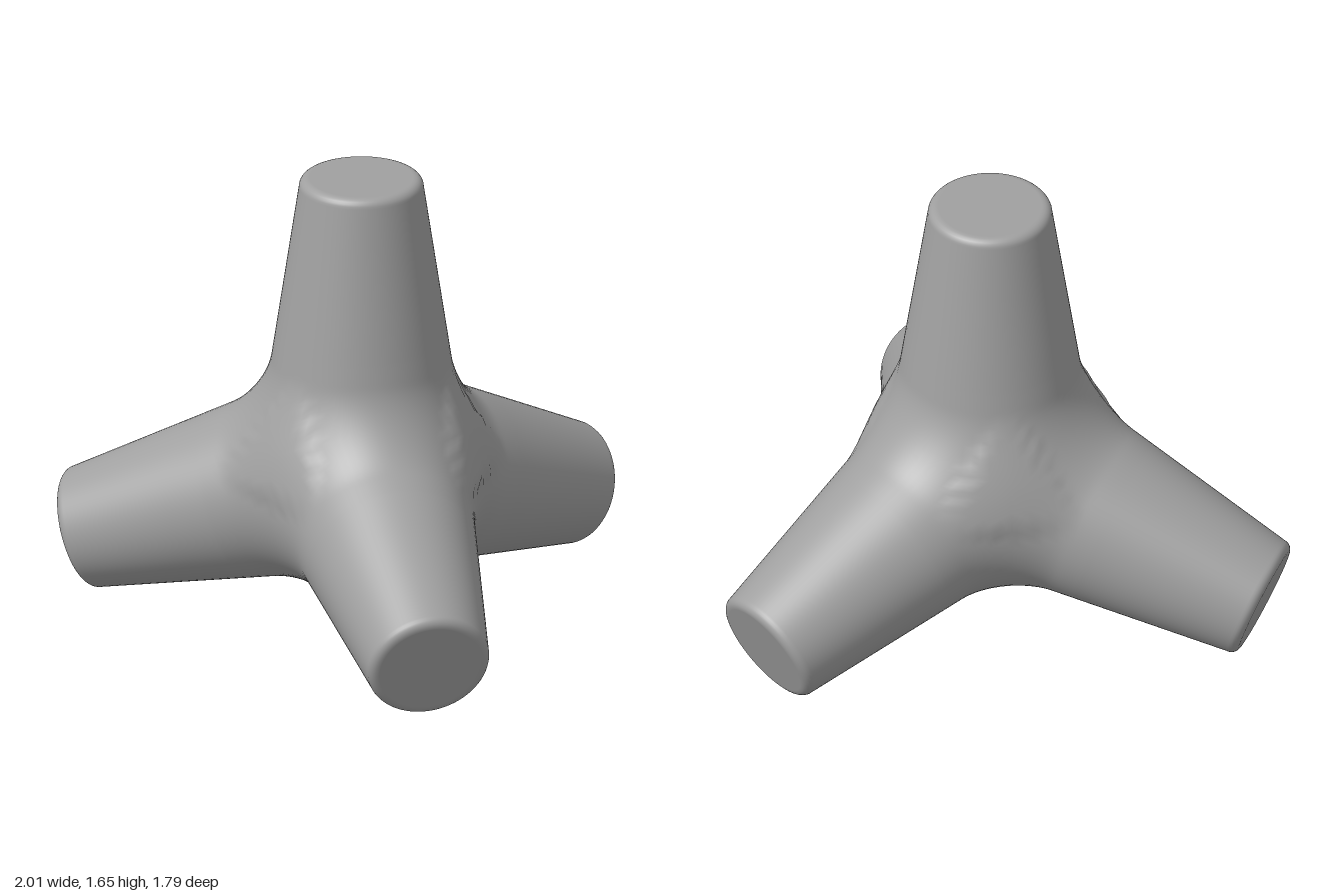
import * as THREE from 'three';
import { mergeVertices } from 'three/addons/utils/BufferGeometryUtils.js';

const SEG = 72;            // sides around each leg (multiple of 6)
const LENGTH = 1.09;       // centre to end of a leg
const BASE = 0.378;        // leg radius extrapolated to the centre
const TAPER = 0.15;
const FILLET = 0.14;       // blend between legs
const EDGE = 0.033;        // rounding of the leg ends
const CENTRE = new THREE.Vector3(0, 0.56, -0.205);

// Four leg directions of a tetrahedron: up, front, back left, back right
const DIRS = [new THREE.Vector3(0, 1, 0)];
for (let i = 0; i < 3; i++) {
  const a = (i * Math.PI * 2) / 3, h = Math.sqrt(8) / 3;
  DIRS.push(new THREE.Vector3(Math.sin(a) * h, -1 / 3, Math.cos(a) * h));
}

const coneRadius = (t) => BASE - TAPER * t;

// Is the point inside the filleted union of the four cones?
function inside(p) {
  let sum = 0;
  for (const d of DIRS) {
    const t = p.dot(d);
    const r = Math.sqrt(Math.max(0, p.lengthSq() - t * t));
    const dist = (r - coneRadius(t)) * 0.989 + Math.max(0, -3 * t);
    sum += Math.max(0, FILLET - dist) ** 2;
  }
  return sum > FILLET * FILLET;
}

// Largest s in 0.1..0.8 for which the point at(s) is inside
function findSurface(at) {
  let lo = 0.1, hi = 0.8;
  for (let i = 0; i < 30; i++) {
    const mid = (lo + hi) / 2;
    if (inside(at(mid))) lo = mid;
    else hi = mid;
  }
  return lo;
}

// One leg's profile at an angle, from the seam with its neighbours to the cap centre
function legProfile(axis, side, delta) {
  const point = (t, r) => axis.clone().multiplyScalar(t).addScaledVector(side, r);
  const slope = Math.SQRT1_2 * Math.cos(delta);
  const seamR = findSurface((r) => point(r * slope, r));
  const seamT = seamR * slope;
  const rows = [point(seamT, seamR)];
  const blendEnd = 0.5, n = 16;
  for (let i = 1; i <= n; i++) {
    const t = seamT + ((blendEnd - seamT) * i) / n;
    rows.push(point(t, findSurface((r) => point(t, r))));
  }
  // straight taper
  const edgeT = LENGTH - EDGE, edgeR = coneRadius(edgeT);
  for (let i = 1; i <= 4; i++) {
    const t = blendEnd + ((edgeT - blendEnd) * i) / 4;
    rows.push(point(t, coneRadius(t)));
  }
  // rounded edge and flat cap
  for (let i = 1; i <= 6; i++) {
    const a = (i / 6) * Math.PI / 2;
    rows.push(point(edgeT + EDGE * Math.sin(a), edgeR - EDGE * (1 - Math.cos(a))));
  }
  rows.push(point(LENGTH, edgeR - EDGE * 1.15), point(LENGTH, 0));
  return rows;
}

function addLeg(positions, index) {
  const axis = DIRS[index];
  const u = DIRS[(index + 1) % 4].clone().addScaledVector(axis, 1 / 3).normalize();
  const v = axis.clone().cross(u);
  const third = (Math.PI * 2) / 3;
  const columns = [];
  for (let j = 0; j < SEG; j++) {
    const phi = (j / SEG) * Math.PI * 2;
    const delta = phi - Math.round(phi / third) * third;
    const side = u.clone().multiplyScalar(Math.cos(phi)).addScaledVector(v, Math.sin(phi));
    columns.push(legProfile(axis, side, delta));
  }
  const last = columns[0].length - 2;
  for (let j = 0; j < SEG; j++) {
    const A = columns[j], B = columns[(j + 1) % SEG];
    for (let i = 0; i <= last; i++) {
      const corners = [A[i], B[i], B[i + 1]];
      if (i < last) corners.push(A[i], B[i + 1], A[i + 1]);
      for (const p of corners) positions.push(p.x, p.y, p.z);
    }
  }
}

export function createModel() {
  const group = new THREE.Group();
  group.name = 'tetrapodBlock';
  const concrete = new THREE.MeshStandardMaterial({ color: 0xa0a0a0 });
  concrete.name = 'concrete grey';

  // All four legs join along shared seams into one smooth body
  const positions = [];
  DIRS.forEach((_, i) => addLeg(positions, i));
  let geometry = new THREE.BufferGeometry();
  geometry.setAttribute('position', new THREE.Float32BufferAttribute(positions, 3));
  geometry = mergeVertices(geometry, 1e-4);
  geometry.computeVertexNormals();

  const body = new THREE.Mesh(geometry, concrete);
  body.name = 'fourLeggedBody';
  body.position.copy(CENTRE);
  group.add(body);
  return group;
}
